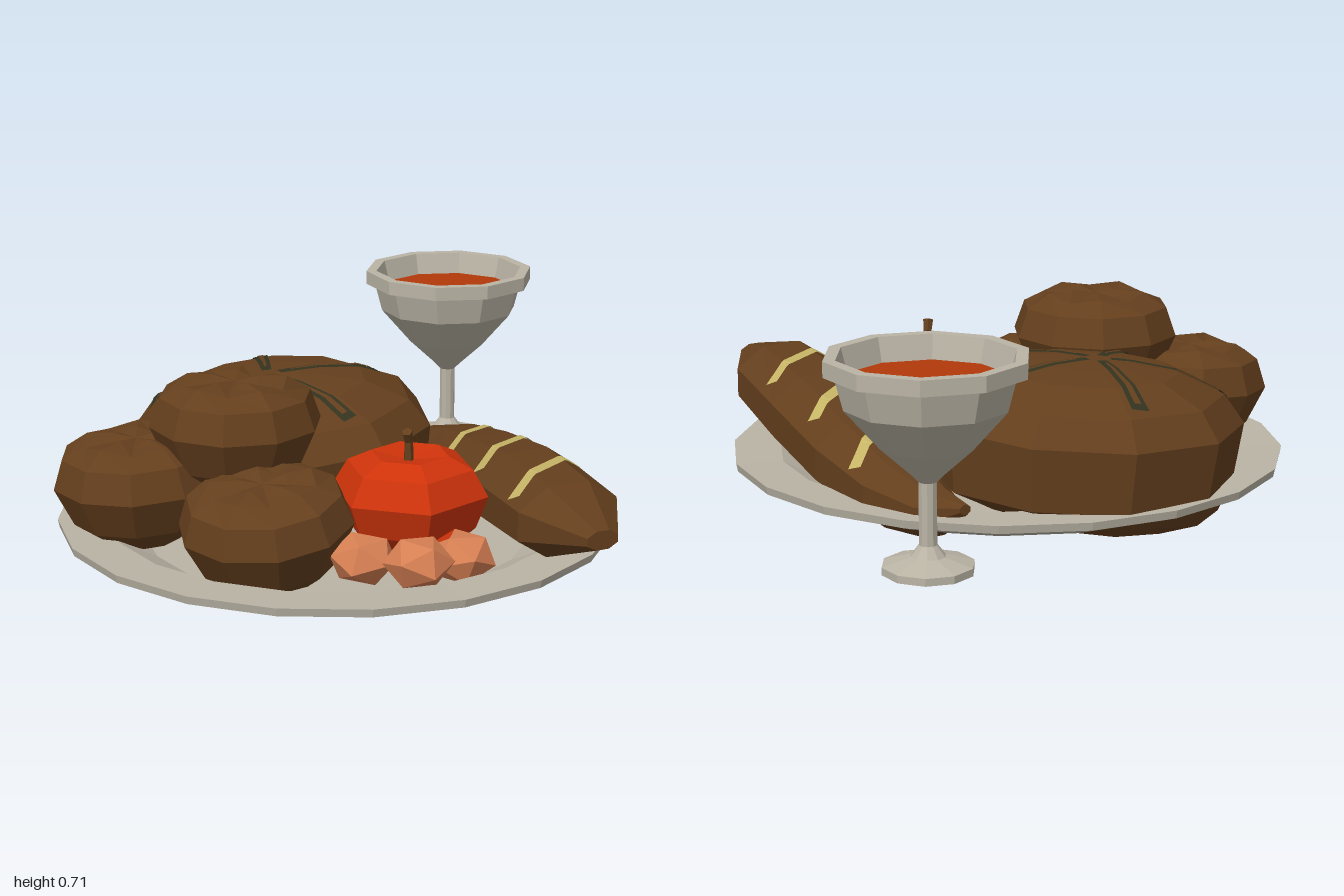
import * as THREE from 'three';

const paint = (name, color, side = THREE.FrontSide) => {
  const m = new THREE.MeshStandardMaterial({ color, flatShading: true, side });
  m.name = name;
  return m;
};

export function createModel() {
  const group = new THREE.Group();
  const pewter = paint('pewter', 0xbab4a5);
  const crust = paint('crust', 0x643f1d);
  const red = paint('red', 0xce330a);
  const drinkRed = paint('drink', 0xb23a09);
  const cream = paint('cream', 0xc6b566, THREE.DoubleSide);
  const olive = paint('olive', 0x33331f, THREE.DoubleSide);
  const peach = paint('peach', 0xd67f53);
  const crustFace = paint('crust strip', 0x643f1d, THREE.DoubleSide);

  const add = (name, geometry, material) => {
    const mesh = new THREE.Mesh(geometry, material);
    mesh.name = name;
    group.add(mesh);
    return mesh;
  };
  const lathe = (pts, sides, start = 0) =>
    new THREE.LatheGeometry(pts.map(([r, y]) => new THREE.Vector2(r, y)), sides, start);

  // Plate
  add('plate', lathe([[0, 0.113], [0.72, 0.113], [0.862, 0.165], [0.867, 0.19],
    [0.72, 0.186], [0.6, 0.124], [0, 0.122]], 20).translate(-0.087, 0, 0.015), pewter);

  // Goblet and its drink
  add('goblet', lathe([[0, 0.113], [0.132, 0.113], [0.132, 0.135], [0.05, 0.158], [0.026, 0.19],
    [0.026, 0.37], [0.045, 0.39], [0.132, 0.47], [0.232, 0.585], [0.257, 0.68], [0.287, 0.68],
    [0.287, 0.725], [0.252, 0.725], [0.225, 0.62], [0, 0.62]], 10).translate(0.673, 0, -0.713), pewter);
  add('drink', new THREE.CircleGeometry(0.235, 10, Math.PI / 2).rotateX(-Math.PI / 2)
    .translate(0.673, 0.655, -0.713), drinkRed);

  // Lays a thin strip, tapered at its start, over a surface from one (x, z) point to another
  const ray = new THREE.Raycaster();
  const down = new THREE.Vector3(0, -1, 0);
  const drape = (name, target, [x0, z0], [x1, z1], startWidth, endWidth, lift, material) => {
    const len = Math.hypot(x1 - x0, z1 - z0), steps = 24;
    const nx = -(z1 - z0) / len / 2, nz = (x1 - x0) / len / 2;
    const pos = [], index = [];
    let last = null;
    for (let i = 0; i <= steps; i++) {
      const t = i / steps, pair = [], w = startWidth + (endWidth - startWidth) * t;
      for (const s of [-w, w]) {
        const x = x0 + (x1 - x0) * t + nx * s, z = z0 + (z1 - z0) * t + nz * s;
        ray.set(new THREE.Vector3(x, 3, z), down);
        const hit = ray.intersectObject(target)[0];
        if (hit) pair.push(x, hit.point.y + lift, z);
      }
      if (pair.length < 6) { last = null; continue; }
      const k = pos.length / 3;
      pos.push(...pair);
      if (last !== null) index.push(last, k, last + 1, last + 1, k, k + 1);
      last = k;
    }
    // strips face upwards: corners run from the near edge round to the far edge
    for (let i = 0; i < index.length; i += 3) [index[i + 1], index[i + 2]] = [index[i + 2], index[i + 1]];
    const g = new THREE.BufferGeometry();
    g.setAttribute('position', new THREE.Float32BufferAttribute(pos, 3));
    g.setIndex(index);
    g.computeVertexNormals();
    add(name, g, material);
  };

  // Round loaf, its underside sagging to one side, with five radiating cuts
  const loafGeo = lathe([[0, -0.245], [0.27, -0.235], [0.4, -0.18], [0.46, -0.11],
    [0.485, 0.08], [0.42, 0.165], [0.28, 0.225], [0.14, 0.245], [0, 0.25]], 10, Math.PI / 2);
  const lp = loafGeo.attributes.position;
  for (let i = 0; i < lp.count; i++)
    if (lp.getY(i) < -0.15) lp.setXYZ(i, lp.getX(i) - 0.03, lp.getY(i) + 0.07 * lp.getX(i), lp.getZ(i));
  const loaf = add('roundLoaf', loafGeo.rotateZ(0.05).translate(-0.1, 0.285, -0.37), crust);
  for (let i = 0; i < 5; i++) {
    const a = i * Math.PI * 2 / 5, c = Math.cos(a), s = Math.sin(a);
    const at = r => [-0.155 + r * c, -0.37 + r * s];
    drape('loafCut', loaf, at(0.04), at(0.39), 0.032, 0.054, 0.005, olive);
    drape('loafCutFloor', loaf, at(0.08), at(0.365), 0.008, 0.022, 0.008, crustFace);
  }

  // Buns with five-petalled tops
  const bun = (x, y, z, tiltX, tiltZ, turn) => {
    const pts = [[0, -0.19], [0.12, -0.18], [0.21, -0.11], [0.264, 0.01], [0.232, 0.1],
      [0.16, 0.145], [0.075, 0.15], [0, 0.138]];
    const g = lathe(pts, 10), p = g.attributes.position;
    for (let i = 0; i < p.count; i++) {
      const ring = i % pts.length, odd = Math.floor(i / pts.length) % 2;
      if (odd && (ring === 5 || ring === 6)) p.setY(i, p.getY(i) - 0.016);
    }
    add('bun', g.rotateY(turn).rotateX(tiltX).rotateZ(tiltZ).translate(x, y, z), crust);
  };
  bun(-0.69, 0.325, -0.12, 0, 0.05, 0.2);
  bun(-0.42, 0.503, 0.005, 0, 0, 0.1);
  bun(-0.45, 0.28, 0.31, 0.08, 0.12, 0.35);

  // Long loaf from cross-sections: x, y, z, half width, half height
  const stations = [[0.288, 0.345, 0.99, 0.05, 0.028], [0.325, 0.32, 0.73, 0.165, 0.108],
    [0.395, 0.29, 0.35, 0.178, 0.122], [0.45, 0.238, 0, 0.17, 0.118],
    [0.493, 0.2, -0.28, 0.13, 0.1], [0.485, 0.18, -0.46, 0.075, 0.07], [0.45, 0.21, -0.56, 0.018, 0.015]];
  const n = 8, pos = [], index = [];
  for (const [x, y, z, w, h] of stations)
    for (let i = 0; i < n; i++) {
      const a = (i + 0.5) * Math.PI * 2 / n, k = 1 / Math.cos(Math.PI / n);
      pos.push(x + Math.cos(a) * w * k, y + Math.sin(a) * h * k, z);
    }
  for (let s = 0; s < stations.length - 1; s++)
    for (let i = 0; i < n; i++) {
      const a = s * n + i, b = s * n + (i + 1) % n;
      index.push(a, a + n, b, b, a + n, b + n);
    }
  const end = (stations.length - 1) * n;
  for (let i = 1; i < n - 1; i++) index.push(0, i, i + 1, end, end + i + 1, end + i);
  const longGeo = new THREE.BufferGeometry();
  longGeo.setAttribute('position', new THREE.Float32BufferAttribute(pos, 3));
  longGeo.setIndex(index);
  longGeo.computeVertexNormals();
  const longLoaf = add('longLoaf', longGeo, crust);
  for (const [a, b] of [[[0.275, 0.025], [0.605, -0.205]], [[0.23, 0.335], [0.56, 0.11]], [[0.19, 0.645], [0.515, 0.455]]])
    drape('longLoafCut', longLoaf, a, b, 0.04, 0.04, 0.007, cream);

  // Six-sided red vegetable with bent stem
  add('tomato', lathe([[0, 0.16], [0.13, 0.17], [0.205, 0.24], [0.242, 0.34], [0.195, 0.42],
    [0.12, 0.456], [0, 0.435]], 6, Math.PI - 0.2).translate(0, 0, 0.35), red);
  add('stem', new THREE.CylinderGeometry(0.013, 0.016, 0.07, 5).translate(-0.01, 0.465, 0.36), crust);
  add('stemTip', new THREE.CylinderGeometry(0.017, 0.013, 0.04, 5).rotateX(0.35).rotateZ(0.3)
    .translate(-0.016, 0.514, 0.366), crust);

  // Small faceted nuggets, each with a few red faces on top
  for (const [x, y, z, r, turn] of [[-0.235, 0.215, 0.52, 0.105, 0.3], [-0.145, 0.25, 0.7, 0.105, 1.1], [0.03, 0.215, 0.625, 0.108, 2]]) {
    const g = new THREE.IcosahedronGeometry(r, 0).rotateX(0.5).rotateY(turn).scale(1, 0.75, 1).translate(x, y, z);
    const p = g.attributes.position;
    for (let f = 0; f < p.count; f += 3) {
      const my = (p.getY(f) + p.getY(f + 1) + p.getY(f + 2)) / 3 - y;
      const mz = (p.getZ(f) + p.getZ(f + 1) + p.getZ(f + 2)) / 3 - z;
      g.addGroup(f, 3, my > r * 0.35 && mz < -r * 0.15 ? 1 : 0);
    }
    add('nugget', g, [peach, red]);
  }
  return group;
}
